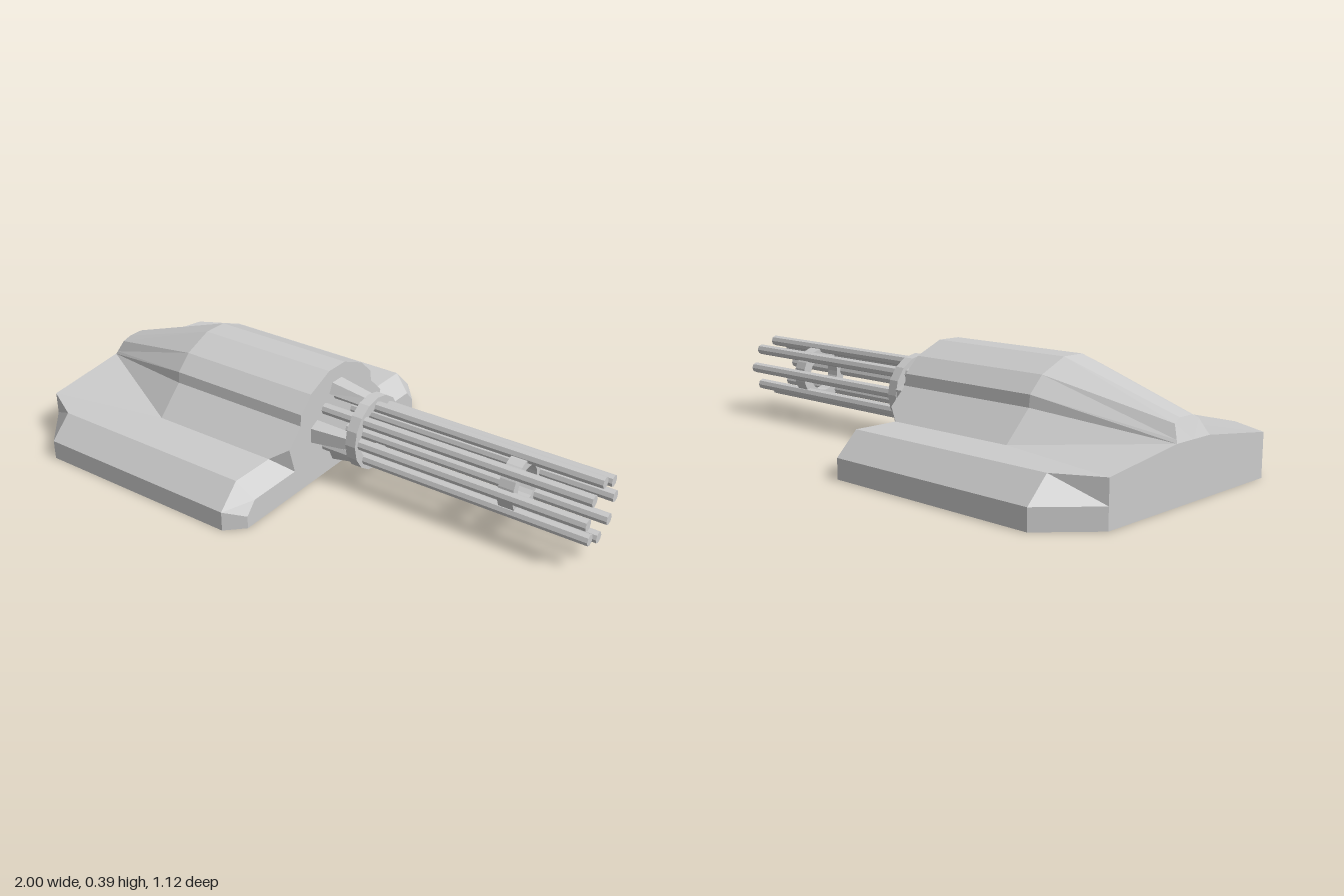
import * as THREE from 'three';

const material = new THREE.MeshStandardMaterial({ color: 0xcccccc, flatShading: true });
const AXIS_Y = 0.187; // height of the barrel axis

// Half outlines [x, y, z] from outer base to crown, listed tail to nose
const upper = x => [[x, 0.25, 0.21], [x, 0.29, 0.205], [x, 0.345, 0.15], [x, 0.39, 0.045]];
const halfSections = [
  [[-1, 0, 0.4], [-1, 0.07, 0.4], [-1, 0.15, 0.4], [-1, 0.15, 0.4], [-1, 0.19, 0.085],
    [-1, 0.19, 0.085], [-0.995, 0.2, 0.08], [-0.975, 0.242, 0.062], [-0.97, 0.255, 0.03]],
  [[-0.85, 0, 0.56], [-0.85, 0.07, 0.56], [-0.85, 0.15, 0.48],
    [-0.55, 0.15, 0.31], [-0.55, 0.15, 0.31], ...upper(-0.55)],
  [[-0.06, 0, 0.56], [-0.06, 0.07, 0.56], [-0.06, 0.15, 0.48],
    [-0.06, 0.15, 0.31], [-0.06, 0.15, 0.31], ...upper(-0.06)],
  [[0, 0, 0.5], [0, 0.045, 0.5], [0, 0.09, 0.46],
    [0, 0.09, 0.245], [0, 0.187, 0.273], ...upper(0)],
];

// Loft the mirrored outlines and close both ends
function hullGeometry() {
  const loops = halfSections.map(h => [...h, ...h.map(([x, y, z]) => [x, y, -z]).reverse()]);
  const n = loops[0].length;
  const pos = [];
  const tri = (...pts) => {
    const [a, b, c] = pts.map(p => new THREE.Vector3(...p));
    if (b.sub(a).cross(c.sub(a)).length() > 1e-7) pts.forEach(p => pos.push(...p));
  };
  for (let s = 0; s < loops.length - 1; s++) {
    for (let i = 0; i < n; i++) {
      const j = (i + 1) % n;
      const a = loops[s][i], b = loops[s + 1][i], c = loops[s + 1][j], d = loops[s][j];
      if (i < n / 2) { tri(a, b, c); tri(a, c, d); }
      else { tri(a, b, d); tri(b, c, d); }
    }
  }
  const nose = loops[loops.length - 1];
  for (let i = 0; i < n; i++) {
    const j = (i + 1) % n;
    tri([-1, 0.19, 0], loops[0][i], loops[0][j]);
    tri([0, 0.05, 0], nose[j], nose[i]);
  }
  const g = new THREE.BufferGeometry();
  g.setAttribute('position', new THREE.Float32BufferAttribute(pos, 3));
  g.computeVertexNormals();
  return g;
}

// Flat ring around the x axis, from x0 to x1
function ringGeometry(inner, outer, x0, x1, sides) {
  const profile = [[inner, x0], [outer, x0], [outer, x1], [inner, x1], [inner, x0]];
  return new THREE.LatheGeometry(profile.map(p => new THREE.Vector2(...p)), sides)
    .rotateZ(-Math.PI / 2);
}

// Brace that narrows and sinks toward the collar
function braceGeometry() {
  const g = new THREE.BoxGeometry(1, 1, 1);
  const p = g.attributes.position;
  for (let i = 0; i < p.count; i++) {
    const front = p.getX(i) > 0, top = p.getY(i) > 0;
    const r = front ? (top ? 0.13 : 0.105) : (top ? 0.152 : 0.115);
    const half = (front ? 0.035 : 0.045) * (top ? 0.6 : 1);
    p.setXYZ(i, front ? 0.135 : 0, r, Math.sign(p.getZ(i)) * half);
  }
  g.computeVertexNormals();
  return g;
}

export function createModel() {
  const model = new THREE.Group();
  model.name = 'rotaryGunTurret';
  const add = (parent, name, geometry) => {
    const mesh = new THREE.Mesh(geometry, material);
    mesh.name = name;
    parent.add(mesh);
    return mesh;
  };
  add(model, 'hull', hullGeometry());

  const gun = new THREE.Group();
  gun.name = 'barrelCluster';
  gun.position.y = AXIS_Y;
  model.add(gun);

  // Eight barrels in a circle
  const barrel = new THREE.CylinderGeometry(0.02, 0.02, 1, 8).rotateZ(-Math.PI / 2);
  for (let i = 0; i < 8; i++) {
    const a = (i * Math.PI) / 4;
    add(gun, 'barrel', barrel).position.set(0.5, 0.1 * Math.cos(a), 0.1 * Math.sin(a));
  }

  // Collar and spacer hold the barrels together
  add(gun, 'collar', ringGeometry(0.1, 0.134, 0.13, 0.17, 16));
  add(gun, 'spacer', ringGeometry(0.066, 0.1, 0.69, 0.745, 24));

  // Four braces from the hull to the collar
  const brace = braceGeometry();
  for (let i = 0; i < 4; i++) add(gun, 'brace', brace).rotation.x = (i * Math.PI) / 2;

  return model;
}
